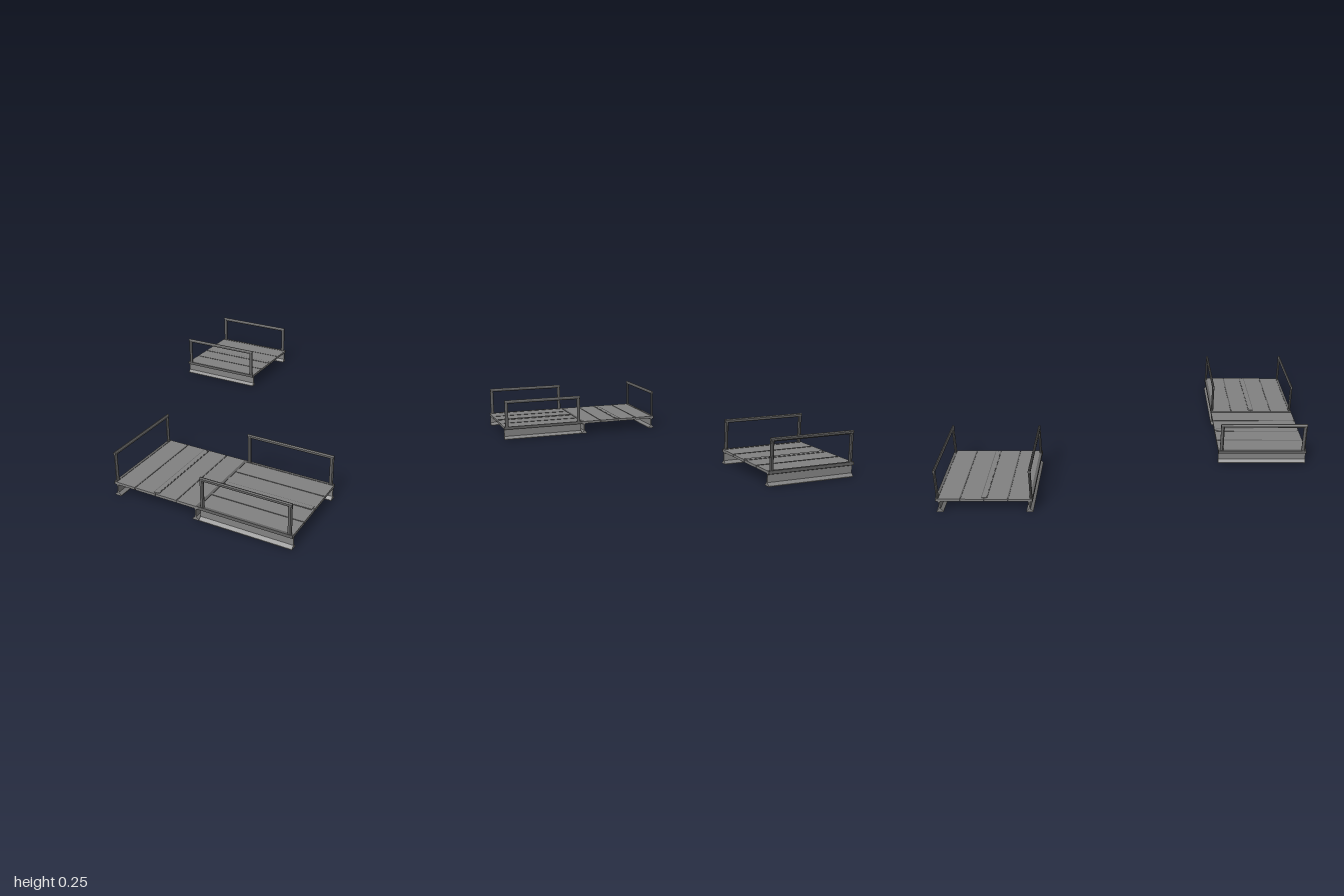
import * as THREE from 'three';

const grey = new THREE.MeshStandardMaterial({ color: 0x828282, flatShading: true });
const darkGrey = new THREE.MeshStandardMaterial({ color: 0x626262, flatShading: true });

function box(parent, name, material, w, h, d, x, y, z) {
  const mesh = new THREE.Mesh(new THREE.BoxGeometry(w, h, d), material);
  mesh.name = name;
  mesh.position.set(x, y, z);
  parent.add(mesh);
}

// Eight-sided bar, slightly flattened in z, upright or lying along x
function bar(parent, name, length, x, y, z, lying) {
  const geometry = new THREE.CylinderGeometry(0.0108, 0.0108, length, 8);
  geometry.rotateY(Math.PI / 8).scale(1, 1, 0.65);
  if (lying) geometry.rotateZ(Math.PI / 2);
  const mesh = new THREE.Mesh(geometry, darkGrey);
  mesh.name = name;
  mesh.position.set(x, y, z);
  parent.add(mesh);
}

// Supporting beam: flared foot, thin web and a short head, extruded along x
function beam(side) {
  const half = [[0.018, 0], [0.018, 0.004], [0.004, 0.019], [0.003, 0.058], [0.008, 0.066]];
  const points = [...half, ...half.map(([z, y]) => [-z, y]).reverse()];
  const shape = new THREE.Shape(points.map(([z, y]) => new THREE.Vector2(z, y)));
  const geometry = new THREE.ExtrudeGeometry(shape, { depth: 0.498, bevelEnabled: false });
  geometry.translate(0, 0, -0.249).rotateY(Math.PI / 2);
  const mesh = new THREE.Mesh(geometry, grey);
  mesh.name = 'supportBeam';
  mesh.position.z = side * 0.232;
  return mesh;
}

// Handrail: two posts and a top bar along one edge
function railing(side) {
  const rail = new THREE.Group();
  rail.name = 'railing';
  const z = side * 0.241;
  for (const x of [-0.232, 0.232]) bar(rail, 'railPost', 0.168, x, 0.154, z, false);
  bar(rail, 'topBar', 0.484, 0, 0.237, z, true);
  return rail;
}

// Square platform with planks along x, beams and railings on the z edges
function platform(name, railSides) {
  const group = new THREE.Group();
  group.name = name;

  // Planks separated by narrow grooves, closed by a thin core
  box(group, 'deckCore', grey, 0.494, 0.007, 0.486, 0, 0.0725, 0);
  const pitch = 0.123;
  for (let i = 0; i < 4; i++) {
    box(group, 'plank', grey, 0.5, 0.014, pitch - 0.004, 0, 0.072, (i - 1.5) * pitch);
  }

  // Raised seams: a broad middle strip with dark borders and two narrow dark ones
  box(group, 'middleSeam', grey, 0.48, 0.005, 0.024, 0, 0.0795, 0);
  for (const s of [-1, 1]) {
    box(group, 'seamBorder', darkGrey, 0.48, 0.004, 0.004, 0, 0.079, s * 0.014);
    box(group, 'sideSeam', darkGrey, 0.48, 0.004, 0.007, 0, 0.079, s * pitch);
  }

  // Edge trim and beams
  for (const s of [-1, 1]) {
    box(group, 'edgeTrim', darkGrey, 0.499, 0.017, 0.015, 0, 0.0725, s * 0.2425);
    group.add(beam(s));
  }
  for (const s of railSides) group.add(railing(s));
  return group;
}

export function createModel() {
  const model = new THREE.Group();
  model.name = 'walkwaySections';

  // Separate straight section
  const straight = platform('straightSection', [-1, 1]);
  straight.position.set(-0.5, 0, -0.75);

  // Corner: a straight section joined to an end section turned sideways
  const side = platform('cornerStraightSection', [-1, 1]);
  side.position.set(0.5, 0, 0.75);
  const end = platform('cornerEndSection', [-1]);
  end.position.set(0, 0, 0.75);
  end.rotation.y = Math.PI / 2;

  model.add(straight, side, end);
  return model;
}
